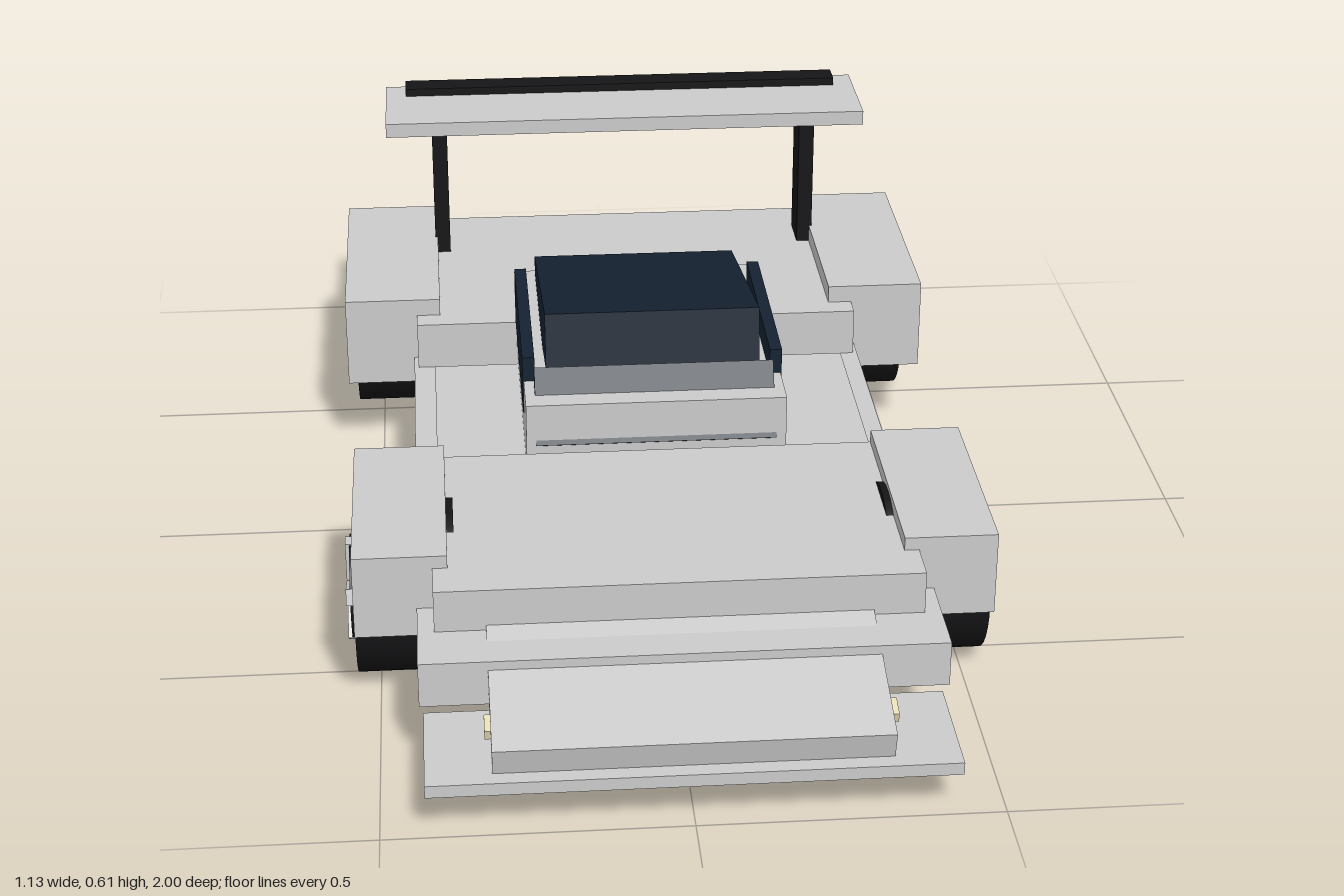
import * as THREE from 'three';

const paint = (color) => new THREE.MeshStandardMaterial({ color });

export function createModel() {
  const model = new THREE.Group();
  model.name = 'raceCar';
  const grey = paint(0xcccccc);
  const black = paint(0x151517);
  const glass = paint(0x152232);
  const red = paint(0xb01818);
  const cream = paint(0xe6dcb4);

  // Box given by its min and max along each axis
  function box(name, [x0, x1], [y0, y1], [z0, z1], material = grey) {
    const mesh = new THREE.Mesh(new THREE.BoxGeometry(x1 - x0, y1 - y0, z1 - z0), material);
    mesh.position.set((x0 + x1) / 2, (y0 + y1) / 2, (z0 + z1) / 2);
    mesh.name = name;
    model.add(mesh);
    return mesh;
  }
  // Box centred on x, tilted about the x axis
  function tilted(name, size, x, y, z, angle, material) {
    const mesh = new THREE.Mesh(new THREE.BoxGeometry(...size), material);
    mesh.position.set(x, y, z);
    mesh.rotation.x = angle;
    mesh.name = name;
    model.add(mesh);
  }
  const wide = (half) => [-half, half];
  const sided = (s, a, b) => (s > 0 ? [a, b] : [-b, -a]);

  // Body
  box('chassis', wide(0.433), [0.125, 0.205], [-0.893, 0.815]);
  box('frontDeck', wide(0.405), [0.2, 0.28], [0.25, 0.717]);
  box('rearDeck', wide(0.425), [0.2, 0.295], [-0.787, -0.267]);
  box('cabinFloor', wide(0.393), [0.2, 0.23], [-0.217, 0.173]);
  box('cabinBody', wide(0.233), [0.225, 0.358], [-0.367, 0.217]);

  // Nose and aero plates
  tilted('nose', [0.64, 0.05, 0.28], 0, 0.156, 0.843, 0.25, grey);
  box('frontSplitter', wide(0.427), [0.075, 0.097], [0.79, 1]);
  box('rearDiffuser', wide(0.38), [0.075, 0.109], [-1, -0.825], black);

  // Canopy and windscreen
  tilted('canopy', [0.386, 0.1, 0.48], 0, 0.39, -0.115, -0.2, glass);
  tilted('windscreen', [0.43, 0.14, 0.03], 0, 0.333, 0.173, -0.54, glass);

  // Rear wing
  box('wing', wide(0.475), [0.57, 0.598], [-0.767, -0.557]);
  box('wingFlap', wide(0.435), [0.598, 0.613], [-0.76, -0.71], black);

  // Wheel with five spokes on its outer face
  function wheel(name, s, x, z, width) {
    const group = new THREE.Group();
    group.name = name;
    const tyre = new THREE.Mesh(new THREE.CylinderGeometry(0.147, 0.147, width, 36), black);
    tyre.rotation.z = Math.PI / 2;
    tyre.name = 'tyre';
    group.add(tyre);
    const rim = new THREE.Mesh(new THREE.CylinderGeometry(0.09, 0.09, 0.01, 30), black);
    rim.rotation.z = Math.PI / 2;
    rim.position.x = s * (width / 2 + 0.003);
    rim.name = 'rim';
    group.add(rim);
    for (let i = 0; i < 5; i++) {
      const arm = new THREE.BoxGeometry(0.02, 0.085, 0.028).translate(0, 0.0475, 0);
      const spoke = new THREE.Mesh(arm, grey);
      spoke.position.x = s * (width / 2 + 0.005);
      spoke.rotation.x = (i * Math.PI * 2) / 5;
      spoke.name = 'spoke';
      group.add(spoke);
    }
    group.position.set(s * x, 0.147, z);
    model.add(group);
  }

  // Mirrored parts
  for (const s of [1, -1]) {
    const side = s > 0 ? 'left' : 'right';
    box(side + 'FrontFender', sided(s, 0.38, 0.538), [0.153, 0.303], [0.25, 0.64]);
    box(side + 'RearFender', sided(s, 0.38, 0.563), [0.153, 0.328], [-0.778, -0.312]);
    box(side + 'Window', sided(s, 0.213, 0.235), [0.295, 0.405], [-0.273, 0.117], glass);
    box(side + 'WingPost', sided(s, 0.355, 0.385), [0.285, 0.57], [-0.7, -0.615], black);
    box(side + 'TailLight', sided(s, 0.2, 0.23), [0.163, 0.245], [-0.9, -0.885], red);
    tilted(side + 'Headlight', [0.02, 0.018, 0.036], s * 0.32, 0.149, 0.918, 0.25, cream);
    wheel(side + 'FrontWheel', s, 0.453, 0.46, 0.17);
    wheel(side + 'RearWheel', s, 0.457, -0.58, 0.185);
  }
  return model;
}
